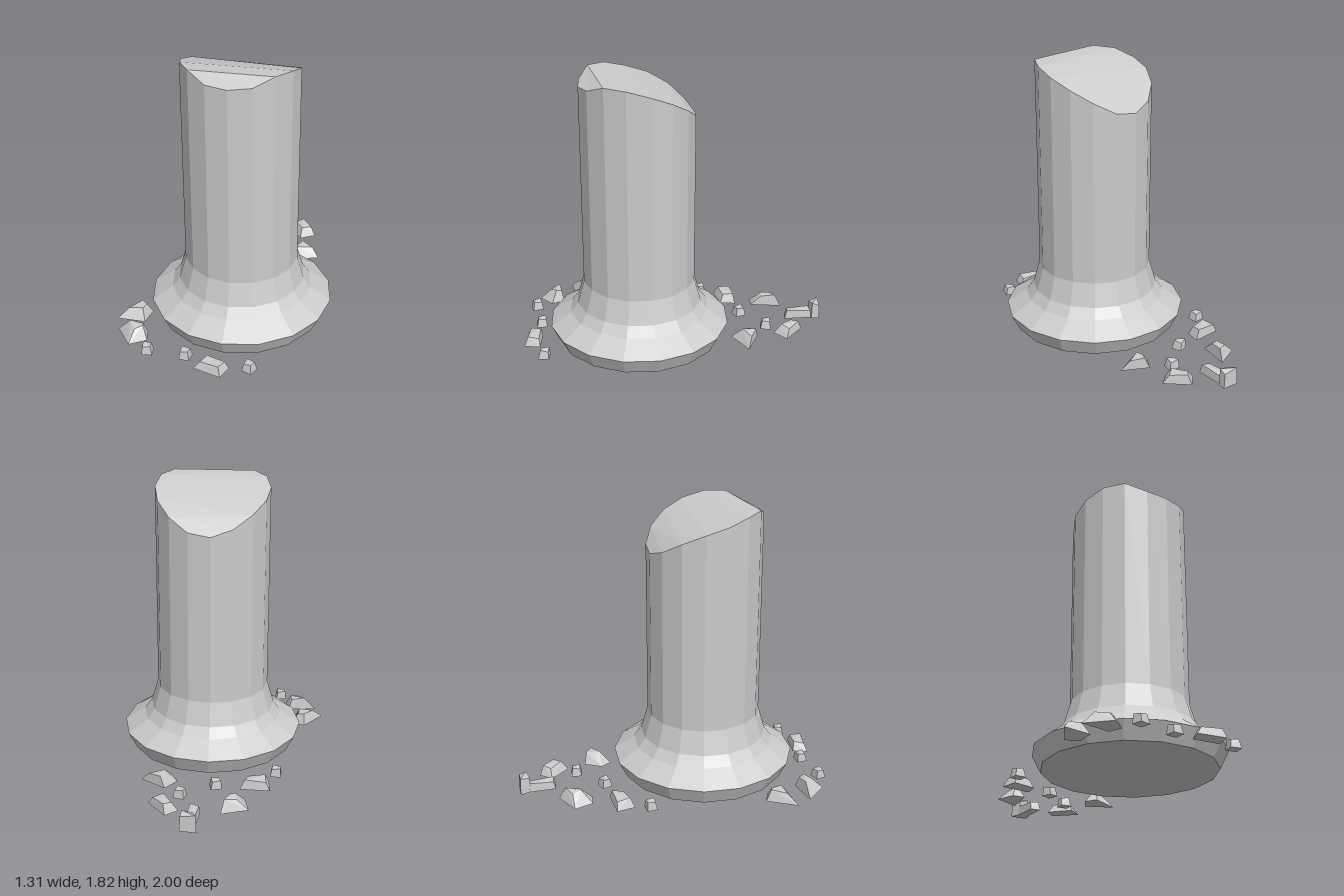
import * as THREE from 'three';
import { ConvexGeometry } from 'three/addons/geometries/ConvexGeometry.js';

const SIDES = 16;
const START = THREE.MathUtils.degToRad(-6.3);
const RADIUS = 0.372;
// Height of the broken rim at each corner of the shaft
const RIM = [1.81, 1.818, 1.77, 1.757, 1.765, 1.815, 1.805, 1.765,
  1.722, 1.66, 1.585, 1.54, 1.56, 1.635, 1.71, 1.77];

const material = new THREE.MeshStandardMaterial({ color: 0xcccccc, flatShading: true });

function addMesh(parent, name, geometry) {
  const mesh = new THREE.Mesh(geometry, material);
  mesh.name = name;
  parent.add(mesh);
  return mesh;
}

// Flared base and shaft turned from one profile, with the top ring cut unevenly
function shaftGeometry() {
  const profile = [[0, 0], [0.545, 0], [0.6, 0.11], [0.465, 0.2], [0.417, 0.265], [RADIUS, 0.42], [RADIUS, 1.8]]
    .map(([r, y]) => new THREE.Vector2(r, y));
  const geometry = new THREE.LatheGeometry(profile, SIDES, Math.PI / 2 - START);
  for (let i = 0; i <= SIDES; i++) {
    geometry.attributes.position.setY(i * profile.length + profile.length - 1, RIM[(SIDES - i) % SIDES]);
  }
  return geometry;
}

// Broken top: parallel strips over the slope, and a chipped corner at the front
function breakGeometry() {
  const points = RIM.map((y, k) => {
    const a = START + (k * Math.PI * 2) / SIDES;
    return new THREE.Vector3(RADIUS * Math.cos(a), y, RADIUS * Math.sin(a));
  });
  const index = [];
  for (let k = 5; k < 11; k++) {
    const a = k, b = k + 1, c = (22 - k) % SIDES, d = (21 - k) % SIDES;
    index.push(a, c, b);
    if (b !== d) index.push(b, c, d);
  }
  for (let k = 1; k < 4; k++) index.push(5, k + 1, k);
  const geometry = new THREE.BufferGeometry().setFromPoints(points);
  geometry.setIndex(index);
  geometry.computeVertexNormals();
  return geometry;
}

// Stone chunk: ground corners [x, z], a smaller top drawn toward [tx, tz]
function chunkGeometry(corners, [tx, tz], height, scale) {
  const points = [];
  corners.forEach(([x, z], i) => {
    points.push(new THREE.Vector3(x, 0, z));
    points.push(new THREE.Vector3(tx + (x - tx) * scale, height * (i % 2 ? 0.85 : 1), tz + (z - tz) * scale));
  });
  return new ConvexGeometry(points);
}

export function createModel() {
  const group = new THREE.Group();
  group.name = 'brokenColumn';

  const column = new THREE.Group();
  column.name = 'column';
  column.position.set(0.06, 0, 0.163);
  group.add(column);
  addMesh(column, 'shaftAndBase', shaftGeometry());
  addMesh(column, 'brokenTop', breakGeometry());

  // Large rubble: corners, top centre, height, top scale
  const chunks = [
    [[[-0.25, -0.9], [-0.08, -0.83], [-0.14, -0.73], [-0.29, -0.81]], [-0.19, -0.85], 0.065, 0.62],
    [[[-0.07, -0.63], [0.12, -0.61], [-0.02, -0.46], [-0.09, -0.51]], [0, -0.62], 0.075, 0.5],
    [[[-0.53, -0.71], [-0.49, -0.5], [-0.57, -0.48], [-0.655, -0.58]], [-0.53, -0.63], 0.08, 0.45],
    [[[-0.48, -0.39], [-0.46, -0.29], [-0.59, -0.205], [-0.655, -0.31]], [-0.56, -0.32], 0.065, 0.7],
    [[[-0.42, 0.62], [-0.33, 0.62], [-0.29, 0.74], [-0.455, 0.83]], [-0.38, 0.68], 0.075, 0.5],
    [[[-0.37, 0.9], [-0.2, 0.8], [-0.14, 0.87], [-0.2, 0.98]], [-0.23, 0.84], 0.085, 0.45],
    [[[0.28, 0.78], [0.45, 0.735], [0.465, 0.84], [0.28, 0.88]], [0.38, 0.79], 0.06, 0.7],
    // Two touching pieces of one bent chunk
    [[[-0.52, -0.965], [-0.42, -1], [-0.405, -0.95], [-0.47, -0.91]], [-0.46, -0.96], 0.115, 0.9],
    [[[-0.48, -0.92], [-0.42, -0.95], [-0.35, -0.77], [-0.415, -0.755]], [-0.42, -0.85], 0.06, 0.85],
  ];
  const rubble = new THREE.Group();
  rubble.name = 'rubble';
  group.add(rubble);
  chunks.forEach((c) => addMesh(rubble, 'rubbleChunk', chunkGeometry(...c)));

  // Pebbles: x, z, turn
  const pebbles = [[-0.205, -0.66, 0.2], [-0.335, -0.445, 0.7], [-0.585, -0.105, 0.4],
    [-0.055, 0.95, 0.6], [0.165, 0.83, 0.4], [0.555, 0.665, 0.15]];
  const square = [[-0.037, -0.032], [0.035, -0.035], [0.035, 0.035], [-0.033, 0.035]];
  for (const [x, z, turn] of pebbles) {
    const pebble = addMesh(rubble, 'pebble', chunkGeometry(square, [-0.01, -0.012], 0.06, 0.75));
    pebble.position.set(x, 0, z);
    pebble.rotation.y = turn;
  }
  return group;
}
